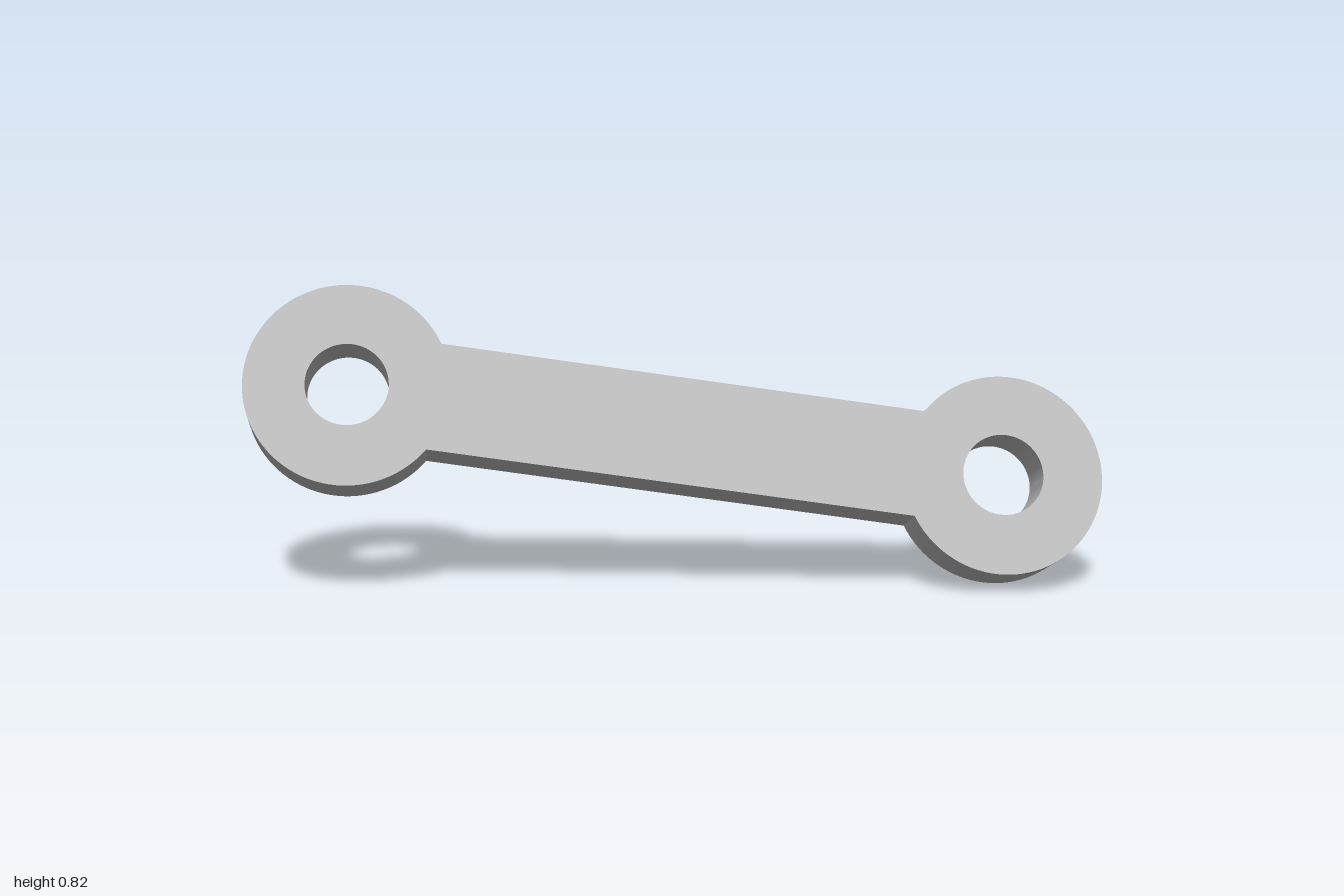
import * as THREE from 'three';
import { toCreasedNormals } from 'three/addons/utils/BufferGeometryUtils.js';

const HALF_SPAN = 0.885;   // link centre to eye centre
const EYE_R = 0.272;
const HOLE_R = 0.11;
const BAR_HALF = 0.145;    // half width of the straight bar
const THICK = 0.146;

export function createModel() {
  const group = new THREE.Group();
  group.name = 'linkArm';
  const steel = new THREE.MeshStandardMaterial({ color: 0xc0c0c0 });
  steel.name = 'steelGrey';

  // Outline: two round eyes joined by a straight bar
  const a = Math.asin(BAR_HALF / EYE_R);
  const shape = new THREE.Shape();
  shape.absarc(HALF_SPAN, 0, EYE_R, -Math.PI + a, Math.PI - a, false);
  shape.absarc(-HALF_SPAN, 0, EYE_R, a, 2 * Math.PI - a, false);
  shape.closePath();

  // Bore through each eye
  for (const s of [-1, 1]) {
    const hole = new THREE.Path();
    hole.absarc(s * HALF_SPAN, 0, HOLE_R, 0, 2 * Math.PI, true);
    shape.holes.push(hole);
  }

  const extruded = new THREE.ExtrudeGeometry(shape, { depth: THICK, bevelEnabled: false, curveSegments: 40 });
  extruded.translate(0, 0, -THICK / 2);
  const link = new THREE.Mesh(toCreasedNormals(extruded, 0.5), steel);
  link.name = 'link';

  // Tilt: long axis, then width axis, then plate normal
  const along = new THREE.Vector3(0.725, -0.13, 0.49).normalize();
  const normal = new THREE.Vector3(-0.48, 0.38, 0.79);
  const across = new THREE.Vector3().crossVectors(normal, along).normalize();
  normal.crossVectors(along, across);
  link.quaternion.setFromRotationMatrix(new THREE.Matrix4().makeBasis(along, across, normal));
  link.position.y = 0.41;
  group.add(link);
  return group;
}
